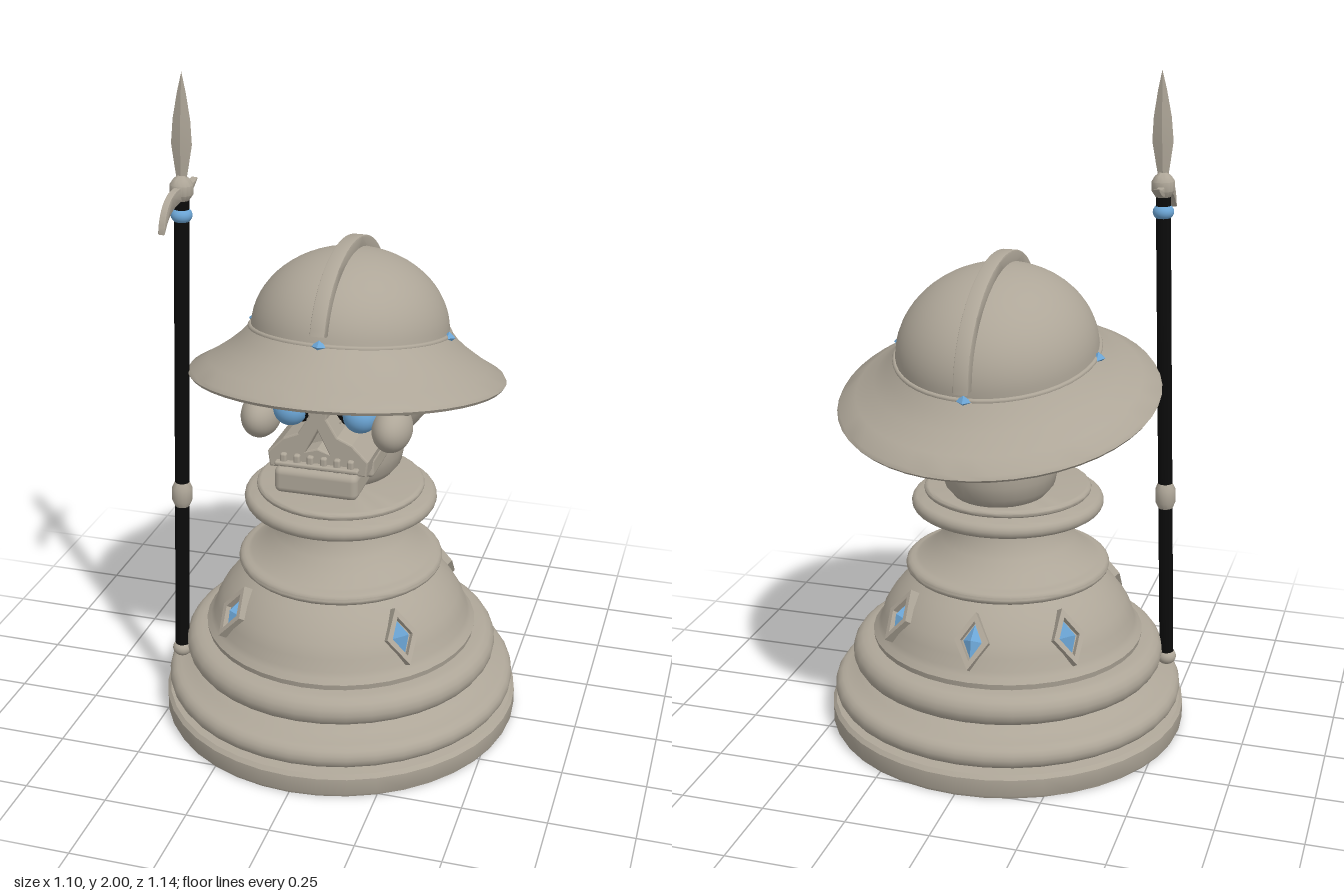
import * as THREE from 'three';
import { toCreasedNormals } from 'three/addons/utils/BufferGeometryUtils.js';
import { RoundedBoxGeometry } from 'three/addons/geometries/RoundedBoxGeometry.js';

const V2 = (x, y) => new THREE.Vector2(x, y);

export function createModel() {
  const stone = new THREE.MeshStandardMaterial({ color: 0xaea698 });
  const blue = new THREE.MeshStandardMaterial({ color: 0x6ca6d6 });
  const black = new THREE.MeshStandardMaterial({ color: 0x0b0b0b });
  stone.name = 'stone'; blue.name = 'blue gem'; black.name = 'black';

  const model = new THREE.Group();
  model.name = 'skullPawn';

  const add = (parent, name, geo, mat, pos = [0, 0, 0], scale = [1, 1, 1]) => {
    const m = new THREE.Mesh(geo, mat);
    m.name = name;
    m.position.set(...pos);
    m.scale.set(...scale);
    parent.add(m);
    return m;
  };
  const group = (parent, name) => {
    const g = new THREE.Group();
    g.name = name;
    parent.add(g);
    return g;
  };
  const lathe = (pts, seg = 32, crease = 0.6) =>
    toCreasedNormals(new THREE.LatheGeometry(pts.map(p => V2(...p)), seg), crease);
  const ball = (parent, name, mat, pos, radii) =>
    add(parent, name, new THREE.SphereGeometry(1, 28, 18), mat, pos, radii);
  const gem = (parent, pos, radii) =>
    add(parent, 'gem', new THREE.OctahedronGeometry(1), blue, pos, radii);
  // rounded moulding: half ellipse standing out from radius r by d
  const bulge = (r, d, y0, y1) => Array.from({ length: 9 }, (_, i) => {
    const a = -Math.PI / 2 + Math.PI * i / 8;
    return [r + d * Math.cos(a), (y0 + y1) / 2 + (y1 - y0) / 2 * Math.sin(a)];
  });
  // side-on silhouette (shape x becomes z), centred on x = 0
  const sidePlate = (shape, width, bevel = 0) => {
    const g = new THREE.ExtrudeGeometry(shape, {
      depth: width, curveSegments: 32, bevelEnabled: bevel > 0,
      bevelThickness: bevel, bevelSize: bevel, bevelSegments: 2,
    });
    return toCreasedNormals(g.translate(0, 0, -width / 2).rotateY(-Math.PI / 2), 0.6);
  };

  // ---- turned pedestal ----
  const baseZ = 0.02;
  add(model, 'pedestal', lathe([
    [0, 0], [0.545, 0], [0.55, 0.01], [0.55, 0.06], [0.54, 0.072], [0.5, 0.078],
    ...bulge(0.505, 0.035, 0.08, 0.152),
    [0.47, 0.165], [0.445, 0.18],
    ...bulge(0.435, 0.047, 0.182, 0.276),
    [0.415, 0.278], [0.418, 0.295], [0.405, 0.31],
    [0.395, 0.325], [0.385, 0.36], [0.365, 0.395], [0.338, 0.43], [0.305, 0.462], [0.27, 0.488],
    ...bulge(0.285, 0.028, 0.492, 0.532),
    [0.275, 0.536], [0.24, 0.56], [0.205, 0.595], [0.182, 0.63], [0.175, 0.66], [0.185, 0.68],
    [0.22, 0.69], ...bulge(0.27, 0.022, 0.692, 0.738),
    [0.25, 0.742], ...bulge(0.24, 0.014, 0.744, 0.768), [0, 0.768],
  ], 40), stone, [0, 0, baseZ]);

  // framed diamonds around the dome
  const rhombus = (C, w, h) => new C([V2(0, -h), V2(w, 0), V2(0, h), V2(-w, 0)]);
  const frameShape = rhombus(THREE.Shape, 0.052, 0.085);
  frameShape.holes.push(rhombus(THREE.Path, 0.034, 0.058));
  const frameGeo = new THREE.ExtrudeGeometry(frameShape, { depth: 0.045, bevelEnabled: false });
  for (const deg of [45, 135, 180, 225, 315]) {
    const a = deg * Math.PI / 180, r = 0.355;
    const d = group(model, 'diamondOrnament');
    d.position.set(r * Math.sin(a), 0.395, baseZ + r * Math.cos(a));
    d.rotation.set(-0.56, a, 0, 'YXZ');
    add(d, 'diamondFrame', frameGeo, stone, [0, 0, -0.02]);
    gem(d, [0, 0, 0.01], [0.028, 0.05, 0.022]);
  }

  // ---- skull ----
  const skull = group(model, 'skull');
  add(skull, 'neck', lathe([[0.12, 0.76], [0.145, 0.772], [0.168, 0.8], [0.176, 0.84], [0.185, 0.9], [0.17, 0.95]]),
    stone, [0, 0, -0.06], [0.97, 1, 1.06]);
  ball(skull, 'cranium', stone, [0, 1.08, -0.1], [0.268, 0.24, 0.265]);

  // face plate with an open nose
  const face = new THREE.Shape([
    [-0.14, 0.9], [0.14, 0.9], [0.145, 0.94], [0.1, 0.985], [0.055, 1.005], [0.022, 1.06], [0.03, 1.12],
    [-0.03, 1.12], [-0.022, 1.06], [-0.055, 1.005], [-0.1, 0.985], [-0.145, 0.94],
  ].map(p => V2(...p)));
  face.holes.push(new THREE.Path([V2(0, 1.03), V2(-0.04, 0.95), V2(0, 0.962), V2(0.04, 0.95)]));
  add(skull, 'facePlate', new THREE.ExtrudeGeometry(face, {
    depth: 0.2, bevelEnabled: true, bevelSize: 0.005, bevelThickness: 0.006, bevelSegments: 2,
  }), stone, [0, 0, 0.055]);
  add(skull, 'noseCavity', new THREE.BoxGeometry(0.1, 0.09, 0.02), stone, [0, 0.985, 0.19]);
  add(skull, 'jaw', new RoundedBoxGeometry(0.25, 0.08, 0.19, 3, 0.02), stone, [0, 0.865, 0.195]);
  add(skull, 'lip', new RoundedBoxGeometry(0.25, 0.014, 0.03, 2, 0.006), stone, [0, 0.914, 0.265]);
  for (const x of [-0.1, -0.06, -0.02, 0.02, 0.06, 0.1])
    add(skull, 'tooth', new RoundedBoxGeometry(0.02, 0.06, 0.024, 2, 0.007), stone, [x, 0.915, 0.262]);

  for (const s of [-1, 1]) {
    ball(skull, 'eyeSocket', black, [s * 0.085, 1.055, 0.13], [0.08, 0.06, 0.07]);
    ball(skull, 'eye', blue, [s * 0.105, 1.05, 0.178], [0.052, 0.052, 0.052]);
    ball(skull, 'cheekbone', stone, [s * 0.197, 1.017, 0.17], [0.058, 0.068, 0.085]);
    ball(skull, 'brow', stone, [s * 0.12, 1.13, 0.15], [0.125, 0.032, 0.08]);
    ball(skull, 'temple', stone, [s * 0.21, 1.08, 0.13], [0.05, 0.035, 0.07]);
    add(skull, 'jawHinge', new RoundedBoxGeometry(0.03, 0.06, 0.2, 2, 0.012), stone, [s * 0.135, 0.895, 0.1]);
  }

  // ---- helmet, tipped back ----
  const helmet = group(model, 'helmet');
  helmet.position.set(0, 1.08, -0.06);
  helmet.rotation.x = -0.18;
  const shell = group(helmet, 'helmetShell');
  shell.scale.x = 0.905;
  const rimH = 0.135, domeR = 0.325, domeH = 0.245;
  add(shell, 'brim', lathe([
    [0.27, 0.125], [0.33, 0.09], [0.41, 0.04], [0.505, -0.012], [0.515, -0.012], [0.522, -0.003], [0.515, 0.008],
    [0.46, 0.036], [0.4, 0.074], [0.36, 0.105], [0.328, rimH + 0.005],
  ], 48), stone);
  const domePts = Array.from({ length: 17 }, (_, i) => {
    const a = Math.PI / 2 * i / 16;
    return [domeR * Math.cos(a), rimH + domeH * Math.sin(a)];
  });
  add(shell, 'dome', lathe(domePts, 48), stone);
  add(shell, 'rimBand', new THREE.TorusGeometry(0.327, 0.008, 8, 48).rotateX(Math.PI / 2), stone, [0, rimH, 0]);

  // crest running front to back
  const crest = new THREE.Shape();
  crest.absellipse(0, rimH, domeR + 0.03, domeH + 0.028, 0.13, Math.PI - 0.13, false, 0);
  crest.absellipse(0, rimH, domeR - 0.015, domeH - 0.015, Math.PI - 0.13, 0.13, true, 0);
  crest.closePath();
  add(helmet, 'crest', sidePlate(crest, 0.036, 0.004), stone);
  gem(helmet, [0, rimH, 0.33], [0.026, 0.018, 0.018]);
  gem(helmet, [0, rimH, -0.33], [0.026, 0.018, 0.018]);
  for (const s of [-1, 1]) gem(helmet, [s * 0.3, rimH, 0], [0.02, 0.018, 0.026]);

  // ---- spear, leaning slightly ----
  const spear = group(model, 'spear');
  const foot = new THREE.Vector3(-0.477, 0.18, 0.17), tip = new THREE.Vector3(-0.414, 2, 0.155);
  spear.position.copy(foot);
  spear.quaternion.setFromUnitVectors(new THREE.Vector3(0, 1, 0), tip.clone().sub(foot).normalize());
  add(spear, 'shaft', new THREE.CylinderGeometry(0.022, 0.022, 1.47, 16), black, [0, 0.735, 0]);
  ball(spear, 'footKnob', stone, [0, 0, 0], [0.03, 0.026, 0.03]);
  add(spear, 'gripKnob', lathe([[0, 0.5], [0.022, 0.5], [0.031, 0.52], [0.031, 0.56], [0.022, 0.58], [0, 0.58]], 16), stone);
  ball(spear, 'blueBead', blue, [0, 1.416, 0], [0.031, 0.025, 0.031]);
  add(spear, 'headSocket', lathe([
    [0, 1.46], [0.022, 1.46], [0.034, 1.478], [0.034, 1.505], [0.024, 1.52], [0.012, 1.53], [0, 1.53],
  ], 16), stone);
  add(spear, 'blade', lathe([[0.014, 1.515], [0.02, 1.55], [0.031, 1.62], [0.026, 1.69], [0.013, 1.765], [0, 1.822]], 4, 0.4),
    stone, [0, 0, 0], [1, 1, 0.35]);
  // hook to the front and spike to the back
  const hook = new THREE.Shape();
  hook.moveTo(-0.1, 1.498);
  hook.quadraticCurveTo(-0.05, 1.482, 0, 1.495);
  hook.bezierCurveTo(0.07, 1.51, 0.14, 1.49, 0.152, 1.405);
  hook.bezierCurveTo(0.115, 1.46, 0.07, 1.465, 0, 1.465);
  hook.quadraticCurveTo(-0.06, 1.465, -0.1, 1.498);
  add(spear, 'hook', sidePlate(hook, 0.014, 0.003), stone);

  return model;
}
